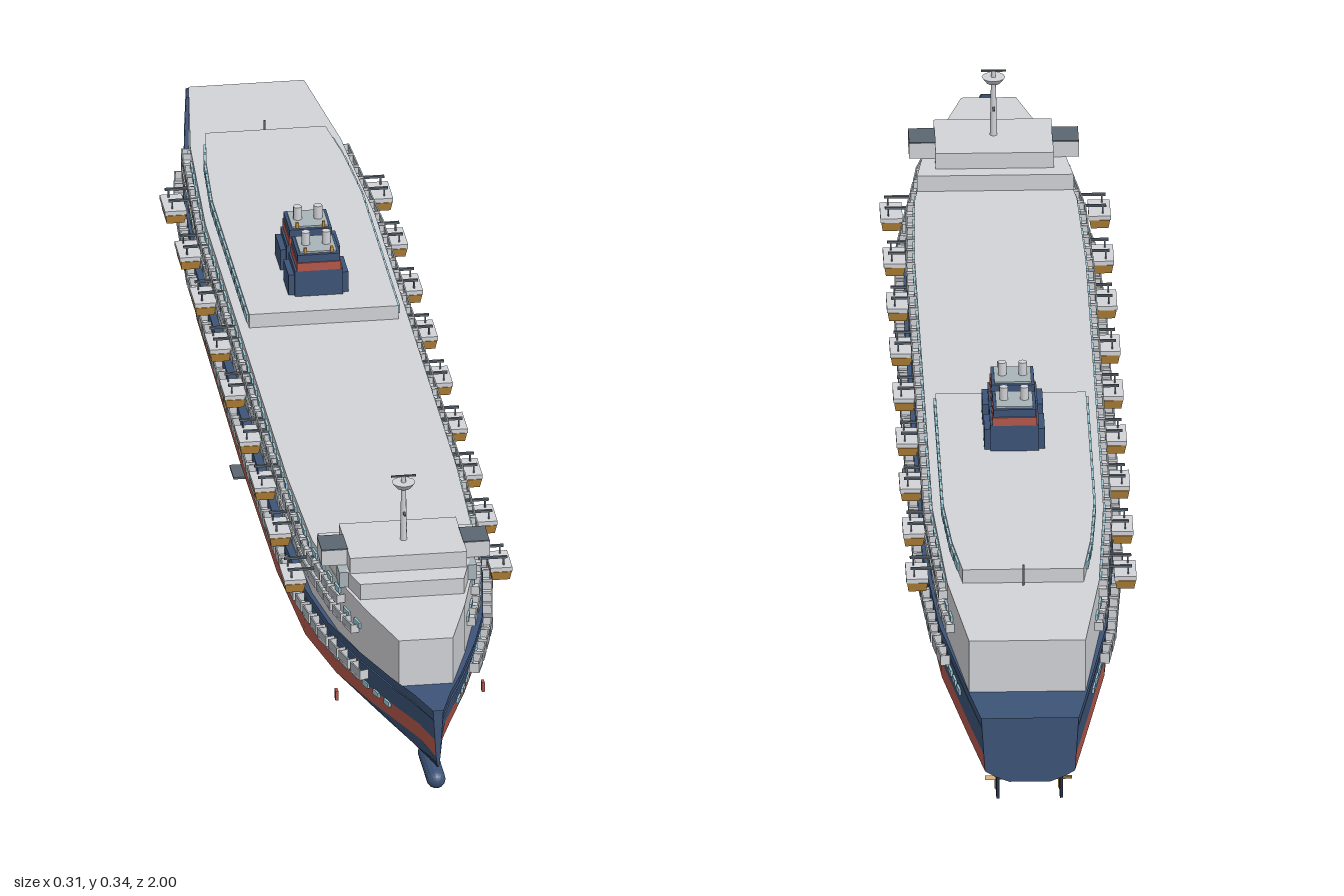
import * as THREE from 'three';
import { mergeGeometries } from 'three/addons/utils/BufferGeometryUtils.js';

const mat = (name, color, opt = {}) => Object.assign(new THREE.MeshStandardMaterial({ color, ...opt }), { name });

export function createModel() {
  const ship = new THREE.Group();
  ship.name = 'cruiseShip';
  const two = { side: THREE.DoubleSide, flatShading: true };
  const blue = mat('hullBlue', 0x3d5478, two), red = mat('stripeRed', 0xb5584a, two), navy = mat('keelNavy', 0x263347, two);
  const white = mat('paintWhite', 0xd2d3d7), glass = mat('windowGlass', 0x9cc9d6), orange = mat('boatOrange', 0xcb953f);
  const grey = mat('metalGrey', 0x5c6672), rail = mat('railGrey', 0xa9b4ba);

  const add = (name, geo, material, x = 0, y = 0, z = 0) => {
    const m = new THREE.Mesh(geo, material);
    m.name = name;
    m.position.set(x, y, z);
    ship.add(m);
    return m;
  };
  const box = (w, h, d) => new THREE.BoxGeometry(w, h, d);
  const cyl = (r0, r1, h, n = 12) => new THREE.CylinderGeometry(r0, r1, h, n);
  // piecewise linear lookup in a table of rows whose first entry is z (descending)
  const look = (t, z, k) => {
    for (let i = 0; i < t.length - 1; i++) {
      const a = t[i], b = t[i + 1];
      if (z >= b[0]) return THREE.MathUtils.lerp(b[k], a[k], Math.min(1, (z - b[0]) / (a[0] - b[0])));
    }
    return t[t.length - 1][k];
  };

  // Hull stations: z, deck half width, waterline half width, bilge half width, keel half width, keel y, deck y, stripe rise
  const hull = [
    [1.0, 0.007, 0.003, 0.002, 0.001, 0.062, 0.147, 0.022],
    [0.94, 0.025, 0.014, 0.006, 0.003, 0.046, 0.145, 0.019],
    [0.88, 0.048, 0.033, 0.017, 0.006, 0.034, 0.143, 0.015],
    [0.78, 0.080, 0.066, 0.045, 0.016, 0.022, 0.139, 0.008],
    [0.68, 0.106, 0.095, 0.074, 0.032, 0.016, 0.135, 0.003],
    [0.55, 0.124, 0.119, 0.100, 0.052, 0.014, 0.132, 0],
    [0.35, 0.131, 0.130, 0.116, 0.068, 0.014, 0.130, 0],
    [0.0, 0.132, 0.132, 0.120, 0.072, 0.014, 0.130, 0],
    [-0.45, 0.129, 0.128, 0.114, 0.066, 0.014, 0.130, 0],
    [-0.69, 0.113, 0.110, 0.094, 0.050, 0.015, 0.132, 0],
    [-0.88, 0.085, 0.080, 0.066, 0.035, 0.028, 0.135, 0],
    [-1.0, 0.066, 0.061, 0.048, 0.028, 0.042, 0.137, 0.002],
  ];
  const section = ([z, dw, ww, bw, kw, ky, dy, up]) => {
    const half = [
      [dw, dy], [(dw + ww * 2) / 3, 0.081 + up], [ww, 0.056 + up],
      [bw, Math.max(0.038, ky + 0.008)], [kw, ky],
    ];
    return [...half, ...half.slice().reverse().map(([x, y]) => [-x, y])].map(([x, y]) => [x, y, z]);
  };
  const rings = hull.map(section);
  // Build quads from corner lists, wound outward
  const quads = (list) => {
    const p = [];
    for (const [a, b, c, d] of list) p.push(...a, ...b, ...c, ...a, ...c, ...d);
    const g = new THREE.BufferGeometry();
    g.setAttribute('position', new THREE.Float32BufferAttribute(p, 3));
    g.computeVertexNormals();
    return g;
  };
  const band = (cols) => {
    const list = [];
    for (let i = 0; i < rings.length - 1; i++) {
      for (const j of cols) list.push([rings[i][j], rings[i][j + 1], rings[i + 1][j + 1], rings[i + 1][j]]);
    }
    return quads(list);
  };
  add('hullTopsides', band([0, 2, 6, 8]), blue);
  add('hullStripe', band([1, 7]), red);
  add('hullBottom', band([3, 4, 5]), navy);
  const end = rings[rings.length - 1];
  add('transom', quads([0, 1, 2, 3].map((j) => [end[j], end[j + 1], end[8 - j], end[9 - j]])), blue);
  const bow = rings[0];
  add('stem', quads([0, 1, 2, 3].map((j) => [bow[j], bow[9 - j], bow[8 - j], bow[j + 1]])), blue);
  const sunk = (q) => [q[0], q[1] - 0.014, q[2]];
  add('mainDeck', quads(rings.slice(1).map((r, i) => [rings[i][0], r[0], r[9], rings[i][9]].map(sunk))), blue);

  const deckX = (z) => look(hull, z, 1);
  const hullX = (z, y) => {
    const dw = deckX(z), ww = look(hull, z, 2), lo = 0.081 + look(hull, z, 7);
    return THREE.MathUtils.lerp((dw + ww * 2) / 3, dw, THREE.MathUtils.clamp((y - lo) / (look(hull, z, 6) - lo), 0, 1));
  };

  // Prism from a plan outline of [z, half width]
  const prism = (name, outline, y0, y1, material = white) => {
    const pts = [...outline.map(([z, w]) => [w, -z]), ...outline.slice().reverse().map(([z, w]) => [-w, -z])];
    const shape = new THREE.Shape(pts.map(([x, y]) => new THREE.Vector2(x, y)));
    const g = new THREE.ExtrudeGeometry(shape, { depth: y1 - y0, bevelEnabled: false }).rotateX(-Math.PI / 2);
    return add(name, g, material, 0, y0, 0);
  };
  const house = [[0.88, 0.037], [0.78, 0.067], [0.68, 0.092], [0.55, 0.110], [0.35, 0.116],
    [-0.45, 0.116], [-0.69, 0.103], [-0.88, 0.079]];
  prism('superstructure', house, 0.115, 0.197);
  prism('bridgeLower', [[0.745, 0.071], [0.66, 0.094], [0.578, 0.106]], 0.197, 0.22);
  prism('bridgeUpper', [[0.71, 0.080], [0.60, 0.080]], 0.22, 0.243);
  const upper = [[-0.12, 0.102], [-0.48, 0.102], [-0.60, 0.094], [-0.692, 0.082]];
  prism('sunDeckHouse', upper, 0.197, 0.217);
  const houseX = (z) => look(house, z, 1), upperX = (z) => look(upper, z, 1);

  // Repeated parts along both sides, following an outline
  const row = (name, material, fn, y, z0, z1, step, [w, h, d], off) => {
    const parts = [];
    for (let z = z0; z >= z1; z -= step) {
      const slope = (fn(z + 0.01) - fn(z - 0.01)) / 0.02;
      for (const s of [1, -1]) {
        parts.push(box(w, h, d).rotateY(Math.atan(s * slope)).translate(s * (fn(z) + off), y, z));
      }
    }
    return add(name, mergeGeometries(parts), material);
  };
  const at = (y) => (z) => hullX(z, y);
  const pane = [0.004, 0.008, 0.02];
  row('hullWindowsUpper', glass, at(0.103), 0.103, 0.78, -0.86, 0.031, pane, 0.001);
  row('hullWindowsLower', glass, at(0.088), 0.088, 0.34, -0.66, 0.031, pane, 0.001);
  row('bowWindows', glass, at(0.09), 0.091, 0.85, 0.64, 0.031, [0.004, 0.007, 0.016], 0.001);
  row('cabinWindowsLower', glass, houseX, 0.165, 0.75, -0.75, 0.037, pane, 0.001);
  row('cabinWindowsUpper', glass, houseX, 0.186, 0.68, -0.68, 0.037, pane, 0.001);
  row('sunDeckWindows', glass, upperX, 0.208, -0.14, -0.68, 0.03, [0.004, 0.012, 0.025], 0.001);

  // Balconies: floor slab, rail panel and dark top rail
  const balconies = (tag, fn, y, z0, z1, reach, h) => {
    row(tag + 'BalconyFloors', white, fn, y, z0, z1, 0.037, [reach, 0.003, 0.03], reach / 2);
    row(tag + 'BalconyPanels', rail, fn, y + h / 2, z0, z1, 0.037, [0.002, h, 0.03], reach - 0.001);
    for (const e of [-0.0145, 0.0145]) {
      row(tag + 'BalconyEnds', white, fn, y + h / 2, z0 + e, z1 + e, 0.037, [reach, h, 0.001], reach / 2);
    }
  };
  balconies('lower', deckX, 0.112, 0.80, -0.78, 0.013, 0.013);
  balconies('middle', houseX, 0.154, 0.74, -0.76, 0.012, 0.011);
  balconies('upper', houseX, 0.176, 0.69, -0.70, 0.012, 0.011);

  // Lifeboats with davits
  for (let i = 0; i < 9; i++) {
    const z = 0.583 - i * 0.146;
    for (const s of [1, -1]) {
      const body = box(0.028, 0.014, 0.056);
      const p = body.attributes.position;
      for (let k = 0; k < p.count; k++) if (p.getY(k) < 0) p.setXYZ(k, p.getX(k) * 0.85, p.getY(k), p.getZ(k) * 0.8);
      body.computeVertexNormals();
      add('lifeboat', body, orange, s * 0.141, 0.154, z);
      add('lifeboatCanopy', box(0.03, 0.006, 0.054), white, s * 0.141, 0.164, z);
      for (const e of [-0.018, 0.018]) {
        add('davitArm', box(0.04, 0.003, 0.004), grey, s * 0.13, 0.179, z + e);
        add('davitFall', box(0.002, 0.014, 0.002), grey, s * 0.145, 0.173, z + e);
      }
    }
  }

  // Bridge wings
  for (const s of [1, -1]) {
    add('bridgeWing', box(0.036, 0.022, 0.046), white, s * 0.097, 0.231, 0.658);
    add('bridgeWingRoof', box(0.036, 0.002, 0.046), grey, s * 0.097, 0.243, 0.658);
    add('wingBracket', box(0.016, 0.022, 0.03), rail, s * 0.086, 0.209, 0.69);
  }

  // Mast with radar
  add('mast', cyl(0.003, 0.005, 0.096, 8), white, 0, 0.29, 0.66);
  add('radarPlatform', cyl(0.016, 0.010, 0.008), white, 0, 0.325, 0.66);
  add('mastYard', box(0.034, 0.002, 0.003), grey, 0, 0.338, 0.66);
  add('mastSpreader', box(0.003, 0.002, 0.03), grey, 0, 0.285, 0.66);

  // Funnels
  for (const z of [-0.198, -0.278]) {
    add('funnelBase', box(0.066, 0.038, 0.062), blue, 0, 0.236, z);
    add('funnelBand', box(0.06, 0.012, 0.064), red, 0, 0.261, z);
    add('funnelTop', box(0.058, 0.011, 0.06), blue, 0, 0.2725, z);
    add('funnelCap', box(0.05, 0.003, 0.05), rail, 0, 0.279, z);
    for (const s of [1, -1]) {
      add('funnelShield', box(0.008, 0.03, 0.05), blue, s * 0.037, 0.232, z);
      add('exhaustStack', cyl(0.006, 0.006, 0.02, 10), white, s * 0.014, 0.289, z);
      add('funnelLamp', box(0.004, 0.008, 0.004), orange, s * 0.018, 0.283, z + 0.026);
    }
  }

  // Bulbous bow
  add('bulb', new THREE.CapsuleGeometry(0.013, 0.085, 6, 14).rotateX(Math.PI / 2), blue, 0, 0.034, 0.935);
  // Anchors, stabiliser fins, shafts, propellers and rudders
  for (const s of [1, -1]) {
    add('anchor', box(0.004, 0.014, 0.01), red, s * 0.1, 0.045, 0.72);
    add('stabiliserFin', box(0.03, 0.003, 0.04), grey, s * 0.128, 0.04, 0.0);
    add('propellerShaft', cyl(0.004, 0.004, 0.16, 8).rotateX(Math.PI / 2), grey, s * 0.043, 0.017, -0.85);
    add('shaftStrut', box(0.004, 0.03, 0.014), navy, s * 0.043, 0.03, -0.9);
    const blades = [0, 1, 2, 3].map((k) => box(0.006, 0.014, 0.002).rotateY(0.5).translate(0, 0.009, 0).rotateZ(k * Math.PI / 2));
    add('propeller', mergeGeometries(blades), orange, s * 0.043, 0.017, -0.932);
    add('rudder', box(0.004, 0.038, 0.03), navy, s * 0.043, 0.027, -0.965);
  }
  add('keelFin', box(0.008, 0.01, 0.9), navy, 0, 0.011, -0.05);
  add('sternFlagstaff', cyl(0.0015, 0.0015, 0.03, 6), grey, 0, 0.212, -0.7);
  return ship;
}
